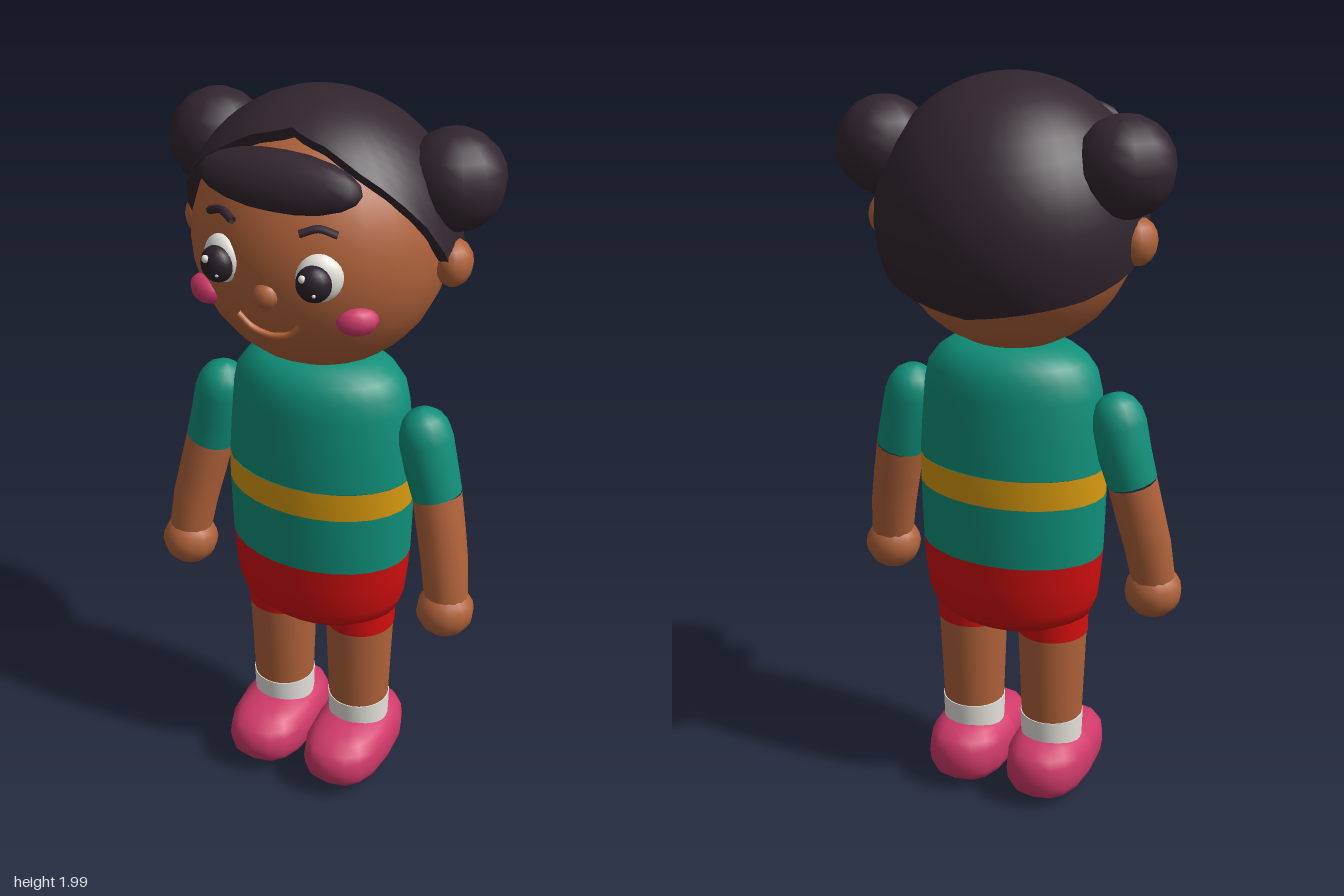
import * as THREE from 'three';
import { toCreasedNormals } from 'three/addons/utils/BufferGeometryUtils.js';

const mat = (name, color, side = THREE.FrontSide) => {
  const m = new THREE.MeshStandardMaterial({ color, side });
  m.name = name;
  return m;
};

export function createModel() {
  const M = {
    skin: mat('skin', 0xb0623a),
    hair: mat('hair', 0x32262f, THREE.DoubleSide),
    shirt: mat('shirt green', 0x10907a, THREE.DoubleSide),
    stripe: mat('stripe yellow', 0xd99a10),
    shorts: mat('shorts red', 0xd40f0f, THREE.DoubleSide),
    pink: mat('pink', 0xd03a6a),
    white: mat('white', 0xece9e2),
    dark: mat('eye dark', 0x2a2028),
    mouth: mat('mouth', 0xc8703f),
  };
  const model = new THREE.Group();
  model.name = 'child';

  const add = (name, geo, material, parent = model) => {
    const mesh = new THREE.Mesh(geo, material);
    mesh.name = name;
    parent.add(mesh);
    return mesh;
  };
  const ball = (name, material, pos, size, seg = [16, 12], parent = model) => {
    const mesh = add(name, new THREE.SphereGeometry(1, ...seg), material, parent);
    mesh.position.set(...pos);
    mesh.scale.set(...size);
    return mesh;
  };
  // lathe with an elliptical section
  const lathe = (name, material, pts, zScale = 1, parent = model) => {
    const geo = new THREE.LatheGeometry(pts.map(p => new THREE.Vector2(...p)), 28);
    geo.scale(1, 1, zScale);
    return add(name, toCreasedNormals(geo, 0.9), material, parent);
  };
  // round sections [x, y, z, radius] joined from top to bottom
  const limb = (name, material, rows, parent) => {
    const n = 16, pos = [], idx = [];
    rows.forEach(([x, y, z, r], i) => {
      const a = rows[Math.max(i - 1, 0)], b = rows[Math.min(i + 1, rows.length - 1)];
      const dir = new THREE.Vector3(b[0] - a[0], b[1] - a[1], b[2] - a[2]).normalize();
      const u = new THREE.Vector3(0, 0, 1).addScaledVector(dir, -dir.z).normalize();
      const v = new THREE.Vector3().crossVectors(dir, u);
      for (let j = 0; j < n; j++) {
        const t = j / n * Math.PI * 2, c = Math.cos(t) * r, s = Math.sin(t) * r;
        pos.push(x + u.x * c + v.x * s, y + u.y * c + v.y * s, z + u.z * c + v.z * s);
        if (i) {
          const k = (j + 1) % n, p = (i - 1) * n, q = i * n;
          idx.push(p + j, p + k, q + j, p + k, q + k, q + j);
        }
      }
    });
    const geo = new THREE.BufferGeometry();
    geo.setAttribute('position', new THREE.Float32BufferAttribute(pos, 3));
    geo.setIndex(idx);
    geo.computeVertexNormals();
    return add(name, geo, material, parent);
  };

  // Head
  const HY = 1.64, HR = [0.322, 0.33, 0.305];
  const head = new THREE.Group();
  head.name = 'head';
  model.add(head);
  ball('face', M.skin, [0, HY, 0], HR, [24, 16], head);
  const onFace = (x, y, off = 0) => new THREE.Vector3(x, y,
    HR[2] * Math.sqrt(1 - (x / HR[0]) ** 2 - ((y - HY) / HR[1]) ** 2) + off);
  const faceLine = (name, material, pts, r, off) => add(name, new THREE.TubeGeometry(
    new THREE.CatmullRomCurve3(pts.map(p => onFace(p[0], p[1], off))), 14, r, 6), material, head);

  // Hair cap: hairline given as [angle from front, polar angle]
  const line = [[0, 0.47], [30, 0.62], [58, 0.98], [72, 1.25], [81, 1.47], [90, 1.68], [100, 1.82], [125, 1.95], [180, 2.1]];
  const hairline = deg => {
    const i = Math.max(1, line.findIndex(p => p[0] >= deg));
    const [a, b] = [line[i - 1], line[i]];
    return THREE.MathUtils.lerp(a[1], b[1], (deg - a[0]) / (b[0] - a[0]));
  };
  const N = 40, R = 12, hp = [], hi = [];
  for (let i = 0; i <= R + 1; i++) for (let j = 0; j < N; j++) {
    const deg = j / N * 360, a = deg * Math.PI / 180;
    const th = hairline(Math.min(deg, 360 - deg)) * Math.min(i / R, 1);
    const s = i > R ? 0.88 : 1; // last ring turns inwards as the rim
    hp.push(Math.sin(th) * Math.sin(a) * 0.35 * s, HY + Math.cos(th) * 0.36 * s, Math.sin(th) * Math.cos(a) * 0.337 * s);
    if (i) {
      const k = (j + 1) % N, p = (i - 1) * N, q = i * N;
      if (i > 1) hi.push(p + j, q + k, p + k);
      hi.push(p + j, q + j, q + k);
    }
  }
  const cap = new THREE.BufferGeometry();
  cap.setAttribute('position', new THREE.Float32BufferAttribute(hp, 3));
  cap.setIndex(hi);
  add('hairCap', toCreasedNormals(cap, 0.9), M.hair, head);
  ball('fringe', M.hair, [0, 1.857, 0.222], [0.21, 0.073, 0.05], [14, 10], head).rotation.x = -0.6;

  ball('nose', M.skin, [0, 1.6, 0.29], [0.034, 0.034, 0.034], [10, 8], head);
  faceLine('mouth', M.mouth, [[-0.082, 1.532], [-0.05, 1.5], [0, 1.487], [0.05, 1.5], [0.082, 1.532]], 0.008, 0.004);

  for (const s of [1, -1]) {
    ball('hairBun', M.hair, [s * 0.317, 1.81, -0.068], [0.125, 0.125, 0.125], [12, 10], head);
    ball('ear', M.skin, [s * 0.34, 1.62, -0.022], [0.047, 0.06, 0.056], [12, 8], head);
    ball('cheek', M.pink, [s * 0.2, 1.545, 0.222], [0.052, 0.037, 0.035], [10, 8], head).rotation.y = s * 0.5;
    faceLine('eyebrow', M.hair, [[s * 0.085, 1.77], [s * 0.125, 1.782], [s * 0.165, 1.768]], 0.01, 0.022);
    ball('eyeWhite', M.white, [s * 0.125, 1.66, 0.268], [0.057, 0.06, 0.034], [18, 12], head).rotation.y = s * 0.35;
    ball('pupil', M.dark, [s * 0.125, 1.657, 0.298], [0.043, 0.045, 0.034], [16, 12], head).rotation.y = s * 0.2;
    ball('eyeGlint', M.white, [s * 0.125 - 0.016, 1.677, 0.325], [0.01, 0.01, 0.008], [8, 6], head);
    ball('eyeGlintSmall', M.white, [s * 0.125 + 0.014, 1.642, 0.327], [0.005, 0.005, 0.004], [8, 6], head);
  }

  // Body
  lathe('shirtLower', M.shirt, [[0.252, 0.75], [0.257, 0.92]], 0.71);
  lathe('shirtStripe', M.stripe, [[0.257, 0.92], [0.257, 1.0]], 0.71);
  lathe('shirtUpper', M.shirt, [[0.257, 1.0], [0.25, 1.1], [0.241, 1.2], [0.23, 1.25], [0.205, 1.285], [0.17, 1.31], [0.12, 1.322], [0, 1.322]], 0.7);
  lathe('shorts', M.shorts, [[0, 0.515], [0.1, 0.522], [0.18, 0.54], [0.222, 0.57], [0.238, 0.61], [0.246, 0.68], [0.252, 0.75]], 0.71);

  for (const s of [1, -1]) {
    // Arm
    const arm = new THREE.Group();
    arm.name = s > 0 ? 'leftArm' : 'rightArm';
    model.add(arm);
    const side = rows => rows.map(([x, ...rest]) => [s * x, ...rest]);
    limb('sleeve', M.shirt, side([[0.277, 1.213, 0, 0.001], [0.279, 1.206, 0, 0.03], [0.282, 1.19, 0, 0.052],
      [0.287, 1.165, 0, 0.066], [0.294, 1.13, 0, 0.072], [0.312, 1.05, 0, 0.07], [0.333, 0.975, 0.004, 0.066]]), arm);
    limb('forearm', M.skin, side([[0.333, 0.975, 0.004, 0.065], [0.353, 0.88, 0.016, 0.064],
      [0.372, 0.79, 0.03, 0.062], [0.386, 0.69, 0.043, 0.058]]), arm);
    ball('hand', M.skin, [s * 0.386, 0.652, 0.047], [0.077, 0.073, 0.077], [12, 10], arm);

    // Leg
    const leg = new THREE.Group();
    leg.name = s > 0 ? 'leftLeg' : 'rightLeg';
    leg.position.x = s * 0.118;
    model.add(leg);
    lathe('shortsCuff', M.shorts, [[0.094, 0.507], [0.097, 0.507], [0.098, 0.6]], 1, leg);
    lathe('shin', M.skin, [[0.084, 0.24], [0.088, 0.35], [0.094, 0.51]], 1, leg);
    lathe('sock', M.white, [[0.084, 0.15], [0.087, 0.249], [0.08, 0.249]], 1, leg);

    // Shoe: a squared-off ball with a lower toe
    const geo = new THREE.SphereGeometry(1, 16, 12), p = geo.attributes.position;
    const sq = v => Math.sign(v) * Math.abs(v) ** 0.78;
    for (let i = 0; i < p.count; i++) {
      const z = sq(p.getZ(i)), y = sq(p.getY(i));
      p.setXYZ(i, sq(p.getX(i)) * 0.115, 0.102 + y * (0.093 - 0.008 * z), 0.03 + z * 0.192);
    }
    geo.computeVertexNormals();
    add('shoe', geo, M.pink, leg);
  }
  return model;
}
